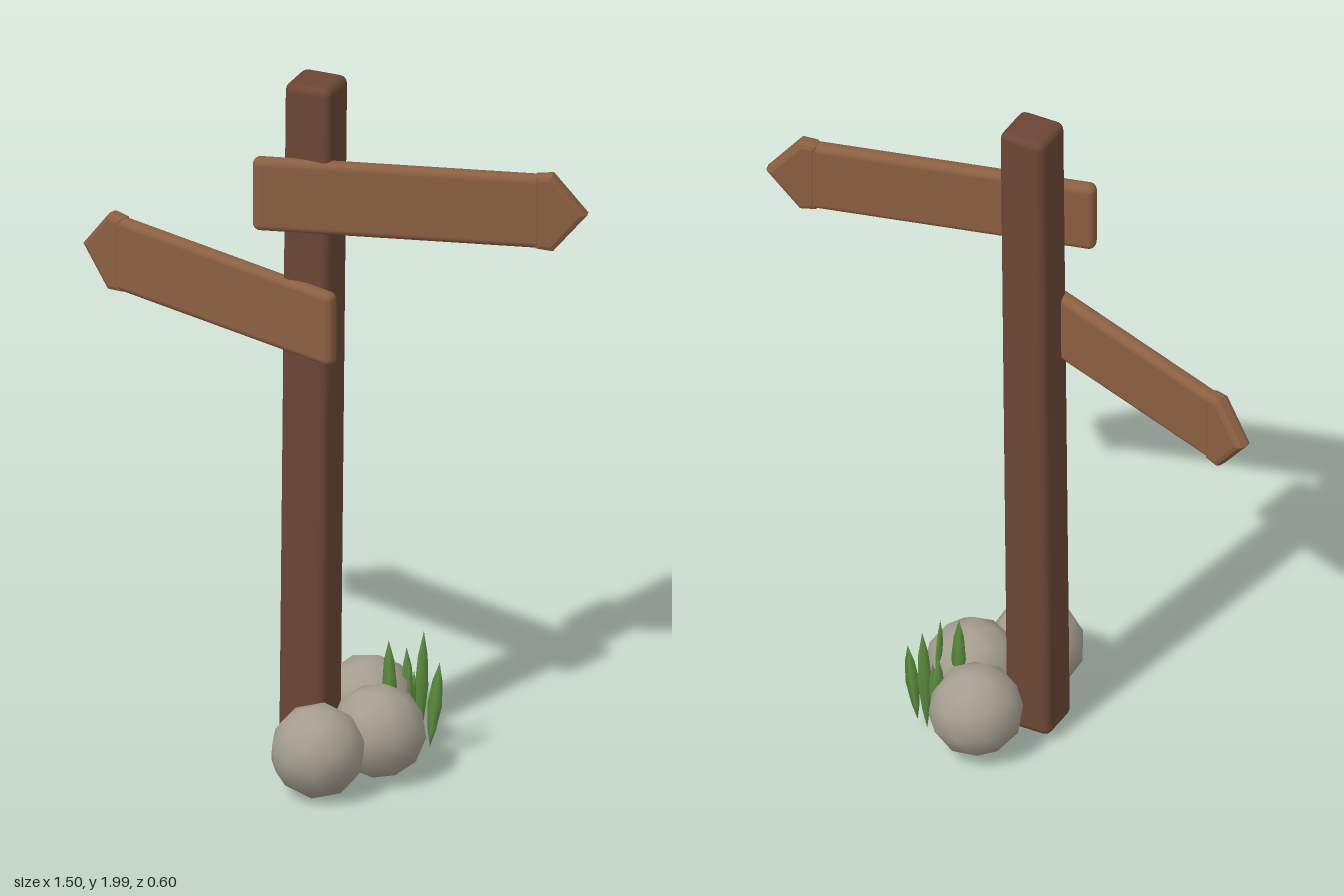
import * as THREE from 'three';
import { RoundedBoxGeometry } from 'three/addons/geometries/RoundedBoxGeometry.js';

const material = (name, color) => Object.assign(new THREE.MeshStandardMaterial({ color }), { name });

export function createModel() {
  const postWood = material('dark wood', 0x6b4635);
  const signWood = material('light wood', 0x8b5f41);
  const stoneGrey = material('stone grey', 0xa59e90);
  const grassGreen = material('grass green', 0x5f9140);

  const model = new THREE.Group();
  model.name = 'signpost';
  const add = (parent, name, geometry, mat, x = 0, y = 0, z = 0) => {
    const mesh = new THREE.Mesh(geometry, mat);
    mesh.name = name;
    mesh.position.set(x, y, z);
    parent.add(mesh);
    return mesh;
  };

  // Slightly leaning post with softened edges
  const post = add(model, 'post', new RoundedBoxGeometry(0.135, 1.97, 0.135, 2, 0.022), postWood, -0.002, 1.015, -0.002);
  post.rotation.z = -0.01;

  // Arrow head outline, inset by the bevel; the tip points along +x
  const bevel = 0.014;
  const head = new THREE.Shape([
    [0.33, -0.093], [0.357, -0.096], [0.438, 0], [0.357, 0.096], [0.33, 0.093],
  ].map(([x, y]) => new THREE.Vector2(x, y)));
  const headGeometry = new THREE.ExtrudeGeometry(head, {
    depth: 0.048 - 2 * bevel, bevelEnabled: true, bevelSize: bevel, bevelThickness: bevel, bevelSegments: 2,
  });
  headGeometry.translate(0, 0, -0.024 + bevel);
  const boardGeometry = new RoundedBoxGeometry(0.79, 0.21, 0.045, 3, 0.02);

  // Two arrow boards turned away from each other
  for (const [name, x, y, z, turn] of [
    ['upperSign', 0.305, 1.685, -0.012, 0.25],
    ['lowerSign', -0.318, 1.33, -0.042, Math.PI - 0.345],
  ]) {
    const sign = new THREE.Group();
    sign.name = name;
    sign.position.set(x, y, z);
    sign.rotation.y = turn;
    add(sign, 'board', boardGeometry, signWood, -0.057);
    add(sign, 'arrowHead', headGeometry, signWood);
    model.add(sign);
  }

  // Round stones around the foot
  const stoneGeometry = new THREE.IcosahedronGeometry(0.13, 1);
  [[0.087, 0.13, 0.17, 0.3], [0.19, 0.14, 0, 1.1], [0.085, 0.142, -0.175, 2.0]].forEach(([x, y, z, turn], i) => {
    const stone = add(model, 'stone' + (i + 1), stoneGeometry, stoneGrey, x, y, z);
    stone.rotation.set(turn * 0.6, turn, 0.2);
  });

  // Pointed grass blades: slim four-sided spindles from base to tip
  const profile = [[0, 0], [0.011, 0.2], [0.02, 0.5], [0.014, 0.78], [0, 1]].map(([r, y]) => new THREE.Vector2(r, y));
  const bladeGeometry = new THREE.LatheGeometry(profile, 4);
  const up = new THREE.Vector3(0, 1, 0);
  const grass = new THREE.Group();
  grass.name = 'grass';
  model.add(grass);
  [
    // base x, y, z, tip x, y, z, spin
    [0.225, 0.04, -0.19, 0.235, 0.36, -0.2, 0.8],
    [0.265, 0.04, -0.17, 0.29, 0.285, -0.18, 0.2],
    [0.215, 0.04, -0.16, 0.215, 0.25, -0.18, 1.4],
    [0.18, 0.1, -0.1, 0.175, 0.36, -0.103, 0.3],
    [0.24, 0.1, -0.1, 0.245, 0.32, -0.08, 1.5],
    [0.19, 0.05, -0.2, 0.18, 0.3, -0.21, 0.9],
  ].forEach(([x, y, z, tx, ty, tz, spin], i) => {
    const direction = new THREE.Vector3(tx - x, ty - y, tz - z);
    const blade = add(grass, 'blade' + (i + 1), bladeGeometry, grassGreen, x, y, z);
    blade.scale.set(1, direction.length(), 0.45);
    blade.quaternion.setFromUnitVectors(up, direction.normalize());
    blade.rotateY(spin);
  });

  return model;
}
